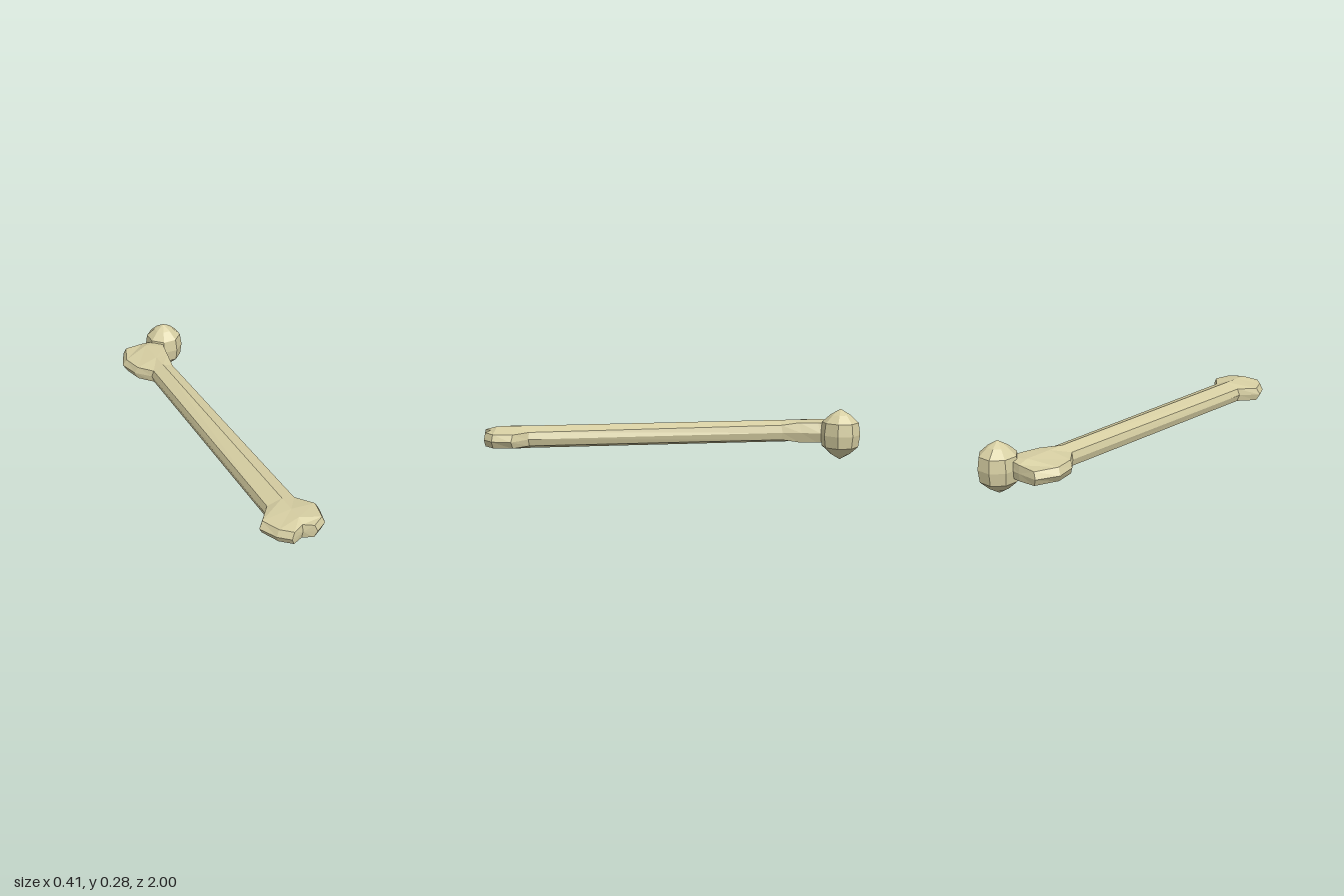
import * as THREE from 'three';

const MID = 0.139;

// Stations run from the lower end to the upper end:
// left x,z | right x,z | ridge z | ridge half height | right edge half height | edge inset
const STATIONS = [
  [-0.11, 1.0, 0.03, 1.0, 0.965, 0.04, 0.036, 0.015],
  [-0.165, 0.95, 0.095, 0.96, 0.93, 0.06, 0.036, 0.015],
  [-0.21, 0.86, 0.123, 0.86, 0.86, 0.06, 0.036, 0.02],
  [-0.128, 0.77, 0.048, 0.77, 0.77, 0.06, 0.036, 0.012],
  [-0.107, -0.6, 0.032, -0.6, -0.6, 0.06, 0.04, 0.01],
  [-0.18, -0.68, 0.055, -0.7, -0.69, 0.06, 0.054, 0.018],
  [-0.208, -0.79, 0.078, -0.8, -0.84, 0.06, 0.055, 0.022],
  [-0.155, -0.905, 0.1, -0.885, -0.895, 0.042, 0.045, 0.015],
];

// Eight-point cross-section, each point with its own z
function section([lx, lz, rx, rz, sz, sh, rh, inset]) {
  const end = Math.sign(lz) * inset * 0.5;
  const sx = -0.036;
  const h = 0.036;
  return [
    [lx, MID, lz], [lx + inset, MID + h, lz - end], [sx, MID + sh, sz], [rx - inset, MID + rh, rz - end],
    [rx, MID, rz], [rx - inset, MID - rh, rz - end], [sx, MID - sh, sz], [lx + inset, MID - h, lz - end],
  ];
}

function loftGeometry() {
  const rings = STATIONS.map(section);
  const pos = [];
  const tri = (a, b, c) => pos.push(...a, ...b, ...c);
  for (let i = 0; i < rings.length - 1; i++) {
    for (let j = 0; j < 8; j++) {
      const k = (j + 1) % 8;
      const [a, b, c, d] = [rings[i][j], rings[i][k], rings[i + 1][k], rings[i + 1][j]];
      tri(a, b, c);
      tri(a, c, d);
    }
  }
  // End caps: notched between the knuckles, nearly flat at the top
  const first = rings[0], last = rings[rings.length - 1];
  for (let j = 0; j < 8; j++) {
    const k = (j + 1) % 8;
    tri([-0.036, MID, 0.972], first[k], first[j]);
    tri([-0.036, MID, -0.9], last[j], last[k]);
  }
  const geo = new THREE.BufferGeometry();
  geo.setAttribute('position', new THREE.Float32BufferAttribute(pos, 3));
  geo.computeVertexNormals();
  return geo;
}

export function createModel() {
  const group = new THREE.Group();
  group.name = 'legBone';
  const bone = new THREE.MeshStandardMaterial({ color: 0xd6cea2, flatShading: true });
  bone.name = 'bone';

  // Shaft with both flared ends
  const shaft = new THREE.Mesh(loftGeometry(), bone);
  shaft.name = 'shaft';
  group.add(shaft);

  // Tall faceted ball joint
  const profile = [[0, -0.138], [0.052, -0.108], [0.098, -0.066], [0.107, 0], [0.098, 0.066], [0.052, 0.108], [0, 0.138]]
    .map(([r, y]) => new THREE.Vector2(r, y));
  const head = new THREE.Mesh(new THREE.LatheGeometry(profile, 8, Math.PI / 8), bone);
  head.name = 'ballHead';
  head.position.set(0.106, 0.138, -0.9);
  group.add(head);

  return group;
}
